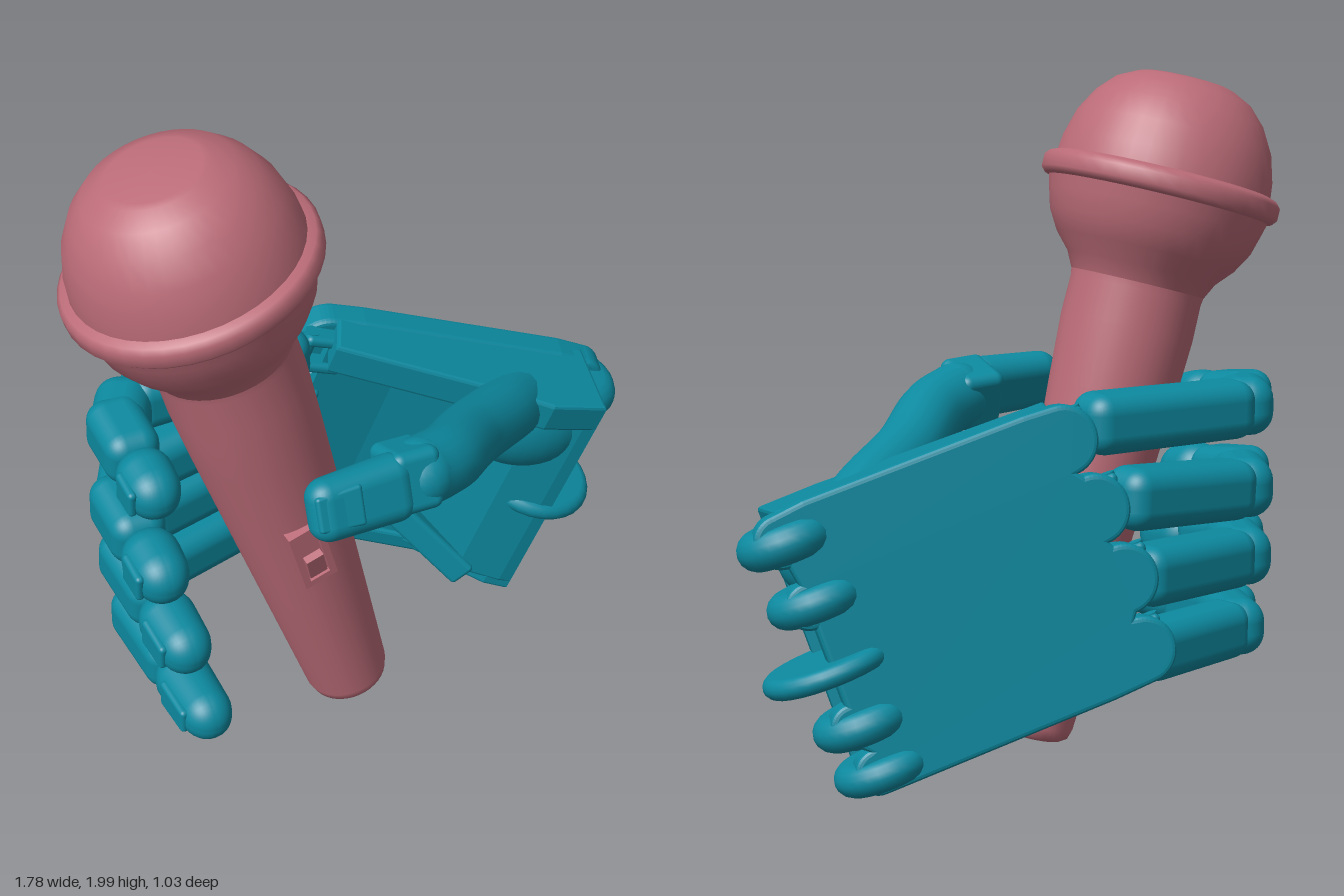
import * as THREE from 'three';
import { RoundedBoxGeometry } from 'three/addons/geometries/RoundedBoxGeometry.js';

const V3 = (x, y, z) => new THREE.Vector3(x, y, z);
const pink = new THREE.MeshStandardMaterial({ color: 0xbb6c78 });
const teal = new THREE.MeshStandardMaterial({ color: 0x0d8aa0 });

function add(parent, name, geometry, material, x = 0, y = 0, z = 0) {
  const mesh = new THREE.Mesh(geometry, material);
  mesh.name = name;
  mesh.position.set(x, y, z);
  parent.add(mesh);
  return mesh;
}

// Rounded bar from a to b in the parent's frame, w across and h along up, narrowing towards b
function bar(parent, name, a, b, w, h, taper = 1, round = 0.45, up = V3(0, 1, 0)) {
  const len = a.distanceTo(b);
  const g = new RoundedBoxGeometry(w, h, len, 4, Math.min(w, h, len) * round);
  const p = g.attributes.position;
  for (let i = 0; i < p.count; i++) {
    const s = 1 + (taper - 1) * (p.getZ(i) / len + 0.5);
    p.setXY(i, p.getX(i) * s, p.getY(i) * s);
  }
  const mesh = add(parent, name, g, teal);
  mesh.position.copy(a).lerp(b, 0.5);
  mesh.quaternion.setFromRotationMatrix(new THREE.Matrix4().lookAt(b, a, up));
  return mesh;
}

// Profile in the (u, n) plane of the hand, extruded downwards from v = top
function slab(parent, name, points, top, height) {
  const shape = new THREE.Shape(points.map(([x, y]) => new THREE.Vector2(x, y)));
  const g = new THREE.ExtrudeGeometry(shape, {
    depth: height - 0.02, bevelSize: 0.01, bevelThickness: 0.01, bevelOffset: -0.01, bevelSegments: 2,
  });
  g.translate(0, 0, 0.01).rotateX(Math.PI / 2);
  return add(parent, name, g, teal, 0, top, 0);
}

function roundedDisc(r, h) {
  const pts = [[0, -h / 2]];
  for (let i = 0; i <= 8; i++) {
    const a = -Math.PI / 2 + (Math.PI * i) / 8;
    pts.push([r - h / 2 + (Math.cos(a) * h) / 2, (Math.sin(a) * h) / 2]);
  }
  pts.push([0, h / 2]);
  return new THREE.LatheGeometry(pts.map(([x, y]) => new THREE.Vector2(x, y)), 28);
}

function microphone() {
  const mic = new THREE.Group();
  mic.name = 'microphone';
  mic.position.set(-0.09, 0.035, 0.085);
  mic.rotation.set(-0.015, 0, 0.267);
  const lathe = (name, pts) => add(mic, name,
    new THREE.LatheGeometry(pts.map(([x, y]) => new THREE.Vector2(x, y)), 40), pink);
  lathe('handle', [[0, 0.03], [0.05, 0.01], [0.1, 0], [0.118, 0.012], [0.126, 0.04], [0.162, 0.6],
    [0.19, 1.05], [0.2, 1.25], [0.198, 1.36], [0.205, 1.41]]);
  lathe('headBase', [[0.2, 1.38], [0.225, 1.43], [0.27, 1.48], [0.305, 1.54], [0.322, 1.6], [0.335, 1.65]]);
  lathe('collar', [[0.325, 1.635], [0.345, 1.64], [0.358, 1.655], [0.358, 1.69], [0.345, 1.705], [0.318, 1.715]]);
  lathe('grille', [[0.325, 1.7], [0.318, 1.76], [0.295, 1.84], [0.255, 1.91], [0.205, 1.962],
    [0.15, 1.99], [0.13, 1.996], [0.06, 2.004], [0, 2.006]]);
  // Switch with raised frame and rocker
  const sw = new THREE.Group();
  sw.name = 'switch';
  sw.position.set(-0.015, 0.71, 0.16);
  sw.rotation.x = 0.06;
  mic.add(sw);
  for (const s of [-1, 1]) {
    add(sw, 'switchFrameSide', new THREE.BoxGeometry(0.02, 0.21, 0.06), pink, s * 0.042, 0, 0);
    add(sw, 'switchFrameEnd', new THREE.BoxGeometry(0.104, 0.02, 0.06), pink, 0, s * 0.097, 0);
  }
  add(sw, 'switchFloor', new THREE.BoxGeometry(0.08, 0.19, 0.04), pink, 0, 0, -0.005);
  add(sw, 'switchRocker', new THREE.BoxGeometry(0.055, 0.085, 0.05), pink, 0, -0.04, 0.005).rotation.x = 0.2;
  return mic;
}

function palm() {
  // Local axes: x to the wrist, y to the index side, z out of the palm
  const u = V3(0.912, -0.314, 0.265).normalize();
  const n = u.clone().cross(V3(0.222, 0.953, 0.209)).normalize();
  const v = n.clone().cross(u);
  const g = new THREE.Group();
  g.name = 'palm';
  g.quaternion.setFromRotationMatrix(new THREE.Matrix4().makeBasis(u, v, n));
  g.position.set(0.33, 0.56, -0.2);

  // Back plate whose two ends break into rounded lobes
  const back = new THREE.Shape();
  back.moveTo(-0.32, -0.4);
  back.lineTo(0.3, -0.4);
  const scallops = (lobes, dir) => lobes.forEach(([y, x, r]) => {
    back.lineTo(x - dir * r, y - dir * r);
    back.absarc(x - dir * r, y, r, -dir * Math.PI / 2, dir * Math.PI / 2 + (dir < 0 ? 2 * Math.PI : 0), false);
  });
  scallops([[-0.34, 0.42, 0.06], [-0.2, 0.44, 0.06], [0.15, 0.44, 0.06], [0.34, 0.46, 0.07]], 1);
  back.lineTo(0.3, 0.42);
  back.lineTo(-0.34, 0.42);
  scallops([[0.32, -0.52, 0.095], [0.11, -0.54, 0.095], [-0.1, -0.55, 0.095], [-0.305, -0.53, 0.09]], -1);
  back.closePath();
  add(g, 'backPlate', new THREE.ExtrudeGeometry(back, {
    depth: 0.06, bevelSize: 0.015, bevelThickness: 0.015, bevelOffset: -0.01, bevelSegments: 3,
  }), teal, 0, 0, -0.1);

  // Hinge prongs and pins behind each knuckle
  [[0.32, -0.5], [0.11, -0.53], [-0.1, -0.54], [-0.305, -0.51]].forEach(([y, x]) => {
    for (const s of [-1, 1]) {
      bar(g, 'hingeProng', V3(x + 0.12, y + s * 0.05, -0.01), V3(x - 0.02, y + s * 0.05, 0), 0.07, 0.035);
    }
    add(g, 'hingePin', new THREE.CylinderGeometry(0.022, 0.022, 0.14, 12), teal, x, y, -0.005);
  });

  // Palm shell: hollow at the wrist, with raised side walls
  slab(g, 'palmShell', [[-0.44, -0.06], [0.26, -0.06], [0.26, 0.08], [0.4, 0.12], [0.4, 0.18], [0.36, 0.18],
    [0.22, 0.15], [0.02, 0.04], [-0.2, 0.01], [-0.44, 0.01]], 0.38, 0.75);
  slab(g, 'indexWall', [[-0.42, -0.08], [0.38, -0.08], [0.4, 0.18], [0.22, 0.21], [0.05, 0.17],
    [-0.2, 0.13], [-0.45, 0.09]], 0.42, 0.1);
  slab(g, 'littleFingerWall', [[-0.4, -0.08], [0.36, -0.08], [0.4, 0.18], [0.32, 0.17], [0.1, 0.06],
    [-0.4, 0.02]], -0.34, 0.06);

  // Rounded wrist tabs and the wider cuff disc
  [[0.37, 0.33, 0.14, 0.11], [0.35, 0.15, 0.14, 0.1], [0.35, -0.21, 0.14, 0.1], [0.34, -0.35, 0.14, 0.09]]
    .forEach(([x, y, r, h]) => add(g, 'wristTab', roundedDisc(r, h), teal, x, y, -0.02));
  add(g, 'cuffDisc', roundedDisc(0.19, 0.06), teal, 0.38, -0.04, 0.01);
  add(g, 'wristBracket', new RoundedBoxGeometry(0.12, 0.3, 0.08, 2, 0.02), teal, 0.3, 0.14, 0.06);

  // Muscle at the base of the thumb
  const mound = add(g, 'thumbMound', new THREE.SphereGeometry(1, 28, 18), teal, 0.21, 0.25, 0.09);
  mound.scale.set(0.2, 0.16, 0.12);

  // Straps on the heel of the palm
  const out = V3(0, 0, 1);
  bar(g, 'palmStrap', V3(-0.1, -0.27, 0.04), V3(0.06, -0.08, 0.08), 0.09, 0.06, 1, 0.25, out);
  bar(g, 'palmStrap', V3(-0.04, -0.22, 0.05), V3(0.25, -0.38, 0.15), 0.09, 0.06, 1, 0.25, out);
  return g;
}

function finger(name, pts, width) {
  const g = new THREE.Group();
  g.name = name;
  const p = pts.map((a) => V3(...a));
  bar(g, 'firstSegment', p[0], p[1], width * 0.95, width, 0.97, 0.35);
  bar(g, 'secondSegment', p[1].clone().lerp(p[2], -0.35), p[2].clone().lerp(p[1], -0.2), width * 0.95, width, 0.97, 0.42);
  // Bent fingertip in two pieces with a nail
  const split = p[2].clone().lerp(p[3], 0.45);
  bar(g, 'thirdSegment', p[2].clone().lerp(p[3], -0.25), split, width * 0.95, width, 0.95, 0.35);
  bar(g, 'fingertip', split.clone().lerp(p[2], 0.2), p[3], width, width * 1.02, 0.82, 0.48);
  const nail = bar(g, 'fingernail', split.clone().lerp(p[3], 0.2), p[3].clone().lerp(split, 0.25), 0.03, width * 0.55, 0.85);
  nail.position.x -= width * 0.41;
  return g;
}

function thumb() {
  const g = new THREE.Group();
  g.name = 'thumb';
  const pts = [V3(0.53, 0.8, 0.0), V3(0.44, 0.84, 0.07), V3(0.25, 0.91, 0.2), V3(0.08, 0.99, 0.35), V3(-0.03, 1.02, 0.4)];
  add(g, 'thumbBase', new THREE.TubeGeometry(new THREE.CatmullRomCurve3(pts), 40, 0.1, 20), teal);
  for (const q of [pts[0], pts[4]]) add(g, 'thumbJoint', new THREE.SphereGeometry(0.1, 20, 14), teal, q.x, q.y, q.z);
  // Last joint rolled so the nail looks slightly upwards
  const roll = V3(0, 1, -0.35);
  bar(g, 'thumbLink', V3(0, 1.02, 0.4), V3(-0.145, 1.03, 0.4), 0.17, 0.18, 1, 0.2, roll);
  bar(g, 'thumbTip', V3(-0.08, 1.03, 0.435), V3(-0.395, 1.04, 0.445), 0.12, 0.2, 0.88, 0.48, roll);
  bar(g, 'thumbnail', V3(-0.25, 1.055, 0.485), V3(-0.385, 1.055, 0.477), 0.025, 0.12, 0.85, 0.45, roll);
  return g;
}

export function createModel() {
  const model = new THREE.Group();
  model.name = 'handHoldingMicrophone';
  const hand = new THREE.Group();
  hand.name = 'hand';
  hand.add(
    palm(),
    thumb(),
    finger('indexFinger', [[-0.05, 1.03, -0.26], [-0.62, 1.03, -0.26], [-0.69, 1.03, -0.14], [-0.7, 0.99, 0.19]], 0.175),
    finger('middleFinger', [[-0.13, 0.82, -0.32], [-0.62, 0.79, -0.26], [-0.71, 0.79, -0.1], [-0.72, 0.75, 0.26]], 0.18),
    finger('ringFinger', [[-0.16, 0.6, -0.36], [-0.61, 0.59, -0.27], [-0.7, 0.59, -0.08], [-0.69, 0.53, 0.33]], 0.175),
    finger('littleFinger', [[-0.17, 0.38, -0.37], [-0.59, 0.38, -0.27], [-0.68, 0.37, -0.06], [-0.67, 0.34, 0.41]], 0.17),
  );
  model.add(microphone(), hand);
  return model;
}
